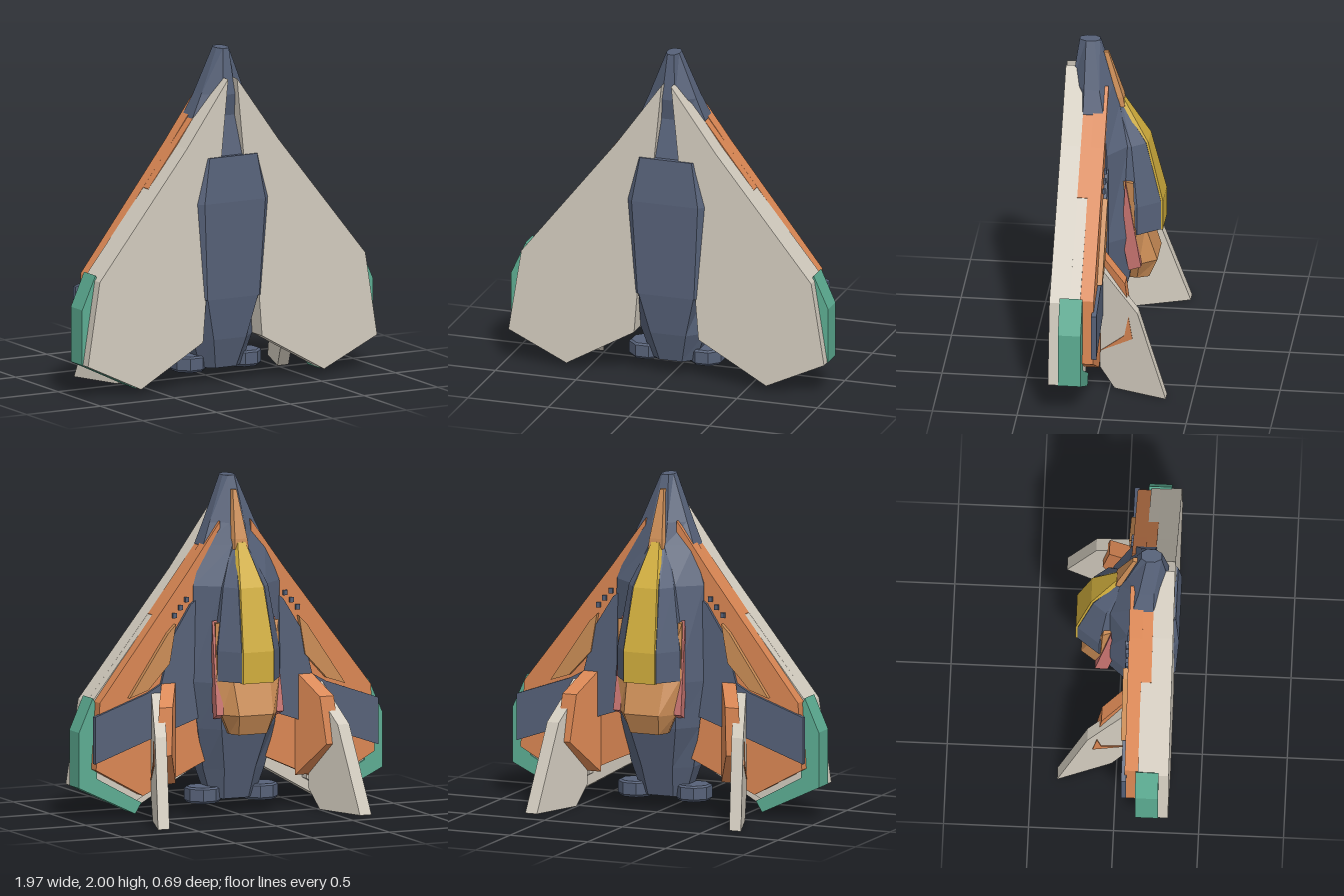
import * as THREE from 'three';

const mat = (name, color) => {
  const m = new THREE.MeshStandardMaterial({ color, flatShading: true });
  m.name = name;
  return m;
};

export function createModel() {
  const navy = mat('navy hull', 0x566178);
  const cream = mat('cream armour', 0xd2cbbe);
  const orange = mat('orange wing', 0xd98653);
  const tan = mat('tan fairing', 0xcb8d56);
  const yellow = mat('yellow canopy', 0xd0ad3c);
  const teal = mat('teal trim', 0x5cac92);
  const red = mat('red intake', 0xc87470);

  const group = new THREE.Group();
  const add = (name, geo, material) => {
    const mesh = new THREE.Mesh(geo, material);
    mesh.name = name;
    group.add(mesh);
    return mesh;
  };

  // Symmetric loft: sections [y, [x, z]...] from low to high, half profile running front to back
  const loft = (name, material, sections) => {
    const rings = sections.map(([y, ...half]) => [
      ...half.map(([x, z]) => [x, y, z]),
      ...half.slice().reverse().map(([x, z]) => [-x, y, z]),
    ]);
    const pos = [], n = rings[0].length, last = rings[rings.length - 1];
    const tri = (...p) => p.forEach(v => pos.push(...v));
    for (let r = 0; r < rings.length - 1; r++) {
      for (let i = 0; i < n; i++) {
        const j = (i + 1) % n, lo = rings[r], hi = rings[r + 1];
        tri(lo[i], lo[j], hi[j]);
        tri(lo[i], hi[j], hi[i]);
      }
    }
    for (let i = 1; i < n - 1; i++) {
      tri(last[0], last[i], last[i + 1]);
      tri(rings[0][0], rings[0][i + 1], rings[0][i]);
    }
    const geo = new THREE.BufferGeometry();
    geo.setAttribute('position', new THREE.Float32BufferAttribute(pos, 3));
    geo.computeVertexNormals();
    return add(name, geo, material);
  };

  const shapeOf = pts => new THREE.Shape(pts.map(p => new THREE.Vector2(...p)));

  // Flat plate with an x-y outline, between two depths
  const plate = (name, material, s, pts, z0, z1) => {
    const geo = new THREE.ExtrudeGeometry(shapeOf(pts.map(([x, y]) => [s * x, y])),
      { depth: z1 - z0, bevelEnabled: false });
    add(name, geo.translate(0, 0, z0), material);
  };

  // Upright blade with a z-y outline, leaning outwards towards the back
  const blade = (name, material, s, pts, x0, lean, thick) => {
    const geo = new THREE.ExtrudeGeometry(shapeOf(pts), { depth: thick, bevelEnabled: false });
    const p = geo.attributes.position;
    for (let i = 0; i < p.count; i++) {
      const z = p.getX(i);
      p.setXYZ(i, s * (x0 + lean * (0.04 - z) + p.getZ(i)), p.getY(i), z);
    }
    if (s > 0) { // restore the winding after the axis swap
      const a = new THREE.Vector3(), b = new THREE.Vector3();
      for (let i = 0; i < p.count; i += 3) {
        a.fromBufferAttribute(p, i + 1);
        b.fromBufferAttribute(p, i + 2);
        p.setXYZ(i + 1, b.x, b.y, b.z);
        p.setXYZ(i + 2, a.x, a.y, a.z);
      }
    }
    geo.computeVertexNormals();
    add(name, geo, material);
  };

  // Hull and nose
  loft('fuselage', navy, [
    [0.09, [0.07, 0.24], [0.14, 0.18], [0.14, 0.10], [0.08, 0.05]],
    [0.27, [0.11, 0.29], [0.20, 0.20], [0.20, 0.08], [0.10, 0.00]],
    [0.52, [0.17, 0.325], [0.20, 0.20], [0.25, 0.05], [0.15, -0.07]],
    [0.80, [0.17, 0.31], [0.20, 0.20], [0.29, 0.05], [0.17, -0.10]],
    [1.37, [0.08, 0.30], [0.20, 0.15], [0.28, 0.05], [0.14, -0.06]],
    [1.60, [0.06, 0.25], [0.20, 0.20], [0.20, 0.08], [0.05, 0.00]],
    [1.73, [0.04, 0.28], [0.145, 0.20], [0.145, 0.11], [0.05, 0.04]],
    [2.00, [0.02, 0.24], [0.04, 0.20], [0.04, 0.15], [0.02, 0.12]],
  ]);
  loft('bellyHousing', navy, [
    [0.52, [0.175, 0.33], [0.20, 0.31], [0.20, 0.20]],
    [1.10, [0.205, 0.35], [0.238, 0.32], [0.238, 0.20]],
    [1.37, [0.16, 0.33], [0.175, 0.31], [0.175, 0.20]],
  ]);

  // Cockpit pod, canopy, spine and tail fairing
  loft('cockpitPod', navy, [
    [0.82, [0.17, -0.05], [0.20, -0.12], [0.105, -0.25]],
    [1.00, [0.19, 0.00], [0.20, -0.12], [0.105, -0.25]],
    [1.37, [0.14, 0.00], [0.145, -0.08], [0.085, -0.16]],
    [1.60, [0.06, 0.03], [0.05, 0.01], [0.03, -0.01]],
  ]);
  loft('canopy', yellow, [
    [0.815, [0.105, -0.235], [0.10, -0.262]],
    [1.00, [0.105, -0.235], [0.10, -0.262]],
    [1.37, [0.085, -0.145], [0.075, -0.172]],
    [1.62, [0.035, 0.00], [0.025, -0.025]],
  ]);
  loft('noseSpine', tan, [
    [1.58, [0.055, 0.03], [0.045, -0.03]],
    [1.64, [0.055, 0.03], [0.04, -0.02]],
    [1.92, [0.015, 0.11], [0.012, 0.07]],
  ]);
  loft('tailFairing', tan, [
    [0.50, [0.10, 0.00], [0.12, -0.11], [0.09, -0.18]],
    [0.62, [0.15, 0.00], [0.18, -0.13], [0.11, -0.23]],
    [0.84, [0.16, 0.00], [0.205, -0.11], [0.12, -0.16]],
    [1.16, [0.17, 0.00], [0.205, -0.10], [0.10, -0.08]],
  ]);

  for (const s of [1, -1]) {
    // Wing layers, cream underneath and orange on top
    plate('wingArmour', cream, s, [[0.03, 1.83], [0.31, 1.44], [0.90, 0.70], [0.98, 0.20],
      [0.62, 0.03], [0.20, 0.27], [0.18, 0.52], [0.15, 1.37], [0.075, 1.37]], 0.20, 0.32);
    plate('wingArmourStep', cream, s, [[0.50, 1.20], [0.90, 0.70], [0.90, 0.25],
      [0.61, 0.10], [0.50, 0.16]], 0.139, 0.20);
    plate('wingCore', orange, s, [[0.15, 1.66], [0.318, 1.44], [0.502, 1.20], [0.50, 0.20],
      [0.20, 0.35], [0.10, 1.37]], 0.139, 0.20);
    plate('wingSkin', orange, s, [[0.10, 1.74], [0.318, 1.44], [0.88, 0.71], [0.905, 0.31],
      [0.60, 0.14], [0.18, 0.33], [0.10, 1.37]], 0.06, 0.14);

    // Wing tip trim
    plate('tipTrim', teal, s, [[0.895, 0.73], [0.985, 0.53], [0.985, 0.20], [0.62, 0.025],
      [0.58, 0.09], [0.87, 0.25], [0.87, 0.68]], 0.125, 0.26);

    // Raised panels and vents on the wing
    plate('wingBand', navy, s, [[0.22, 1.32], [0.30, 1.26], [0.42, 1.07], [0.49, 0.80],
      [0.58, 0.75], [0.92, 0.63], [0.92, 0.35], [0.58, 0.47], [0.20, 0.60]], 0.04, 0.07);
    plate('wingPanel', tan, s, [[0.40, 1.15], [0.45, 1.10], [0.70, 0.73], [0.58, 0.77],
      [0.44, 0.92]], 0.03, 0.062);
    for (let i = 0; i < 3; i++) {
      const vent = add('wingVent', new THREE.BoxGeometry(0.025, 0.03, 0.02), navy);
      vent.position.set(s * (0.32 + 0.04 * i), 1.29 - 0.045 * i, 0.055);
    }

    // Tail fins
    blade('finBlade', cream, s, [[0.05, 0.76], [-0.17, 0.52], [-0.345, 0], [-0.03, 0],
      [0.06, 0.12]], 0.48, 0.36, 0.075);
    blade('finRoot', orange, s, [[0.06, 0.82], [-0.09, 0.68], [-0.13, 0.40], [0.06, 0.20]],
      0.40, 0.6, 0.09);
    blade('finStripe', orange, s, [[-0.115, 0.49], [-0.14, 0.35], [0.055, 0.23], [-0.09, 0.36]],
      0.55, 0.36, 0.011);

    // Side intake beside the fairing
    blade('intakeStrip', red, s, [[-0.05, 1.17], [-0.145, 0.62], [-0.07, 0.59], [-0.03, 0.80]],
      0.145, 0.15, 0.045);

    // Engine nozzle
    const nozzle = [[0, 0.125], [0.06, 0.125], [0.075, 0.07], [0.095, 0.07], [0.108, 0.085],
      [0.108, 0.155], [0.095, 0.165], [0, 0.165]].map(p => new THREE.Vector2(...p));
    const place = mesh => mesh.position.set(s * 0.185, mesh.position.y, 0.12);
    place(add('engineNozzle', new THREE.LatheGeometry(nozzle, 8, Math.PI / 8), navy));
    const glow = add('engineGlow', new THREE.CylinderGeometry(0.055, 0.055, 0.008, 8), teal);
    glow.position.y = 0.121;
    place(glow);
    const hub = add('engineHub', new THREE.CylinderGeometry(0.03, 0.015, 0.04, 8), navy);
    hub.position.y = 0.10;
    place(hub);
  }
  return group;
}
